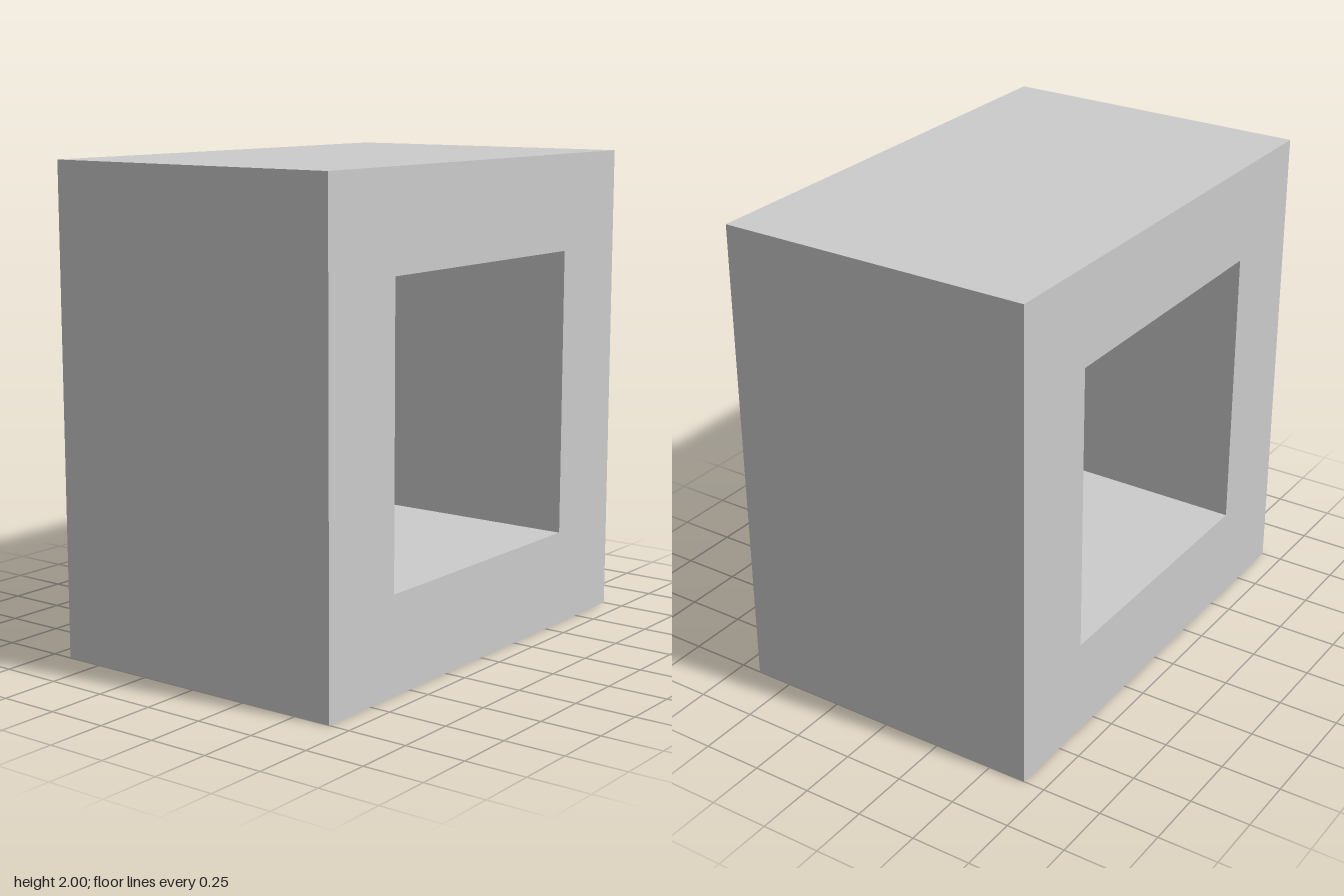
import * as THREE from 'three';

const SIZE = 2;       // outer width and height
const OPENING = 1.2;  // width and height of the square hole
const DEPTH = 1.32;

// Corners of a square centred on the origin
function squarePoints(size) {
  const h = size / 2;
  return [[-h, -h], [h, -h], [h, h], [-h, h]].map(([x, y]) => new THREE.Vector2(x, y));
}

export function createModel() {
  const group = new THREE.Group();
  group.name = 'hollowBlock';

  // Square frame with a square opening running front to back
  const profile = new THREE.Shape(squarePoints(SIZE));
  profile.holes.push(new THREE.Path(squarePoints(OPENING).reverse()));
  const geometry = new THREE.ExtrudeGeometry(profile, { depth: DEPTH, bevelEnabled: false });
  geometry.translate(0, SIZE / 2, -DEPTH / 2);

  const frame = new THREE.Mesh(
    geometry,
    new THREE.MeshStandardMaterial({ color: 0xcccccc, flatShading: true })
  );
  frame.name = 'squareFrame';
  group.add(frame);
  return group;
}
